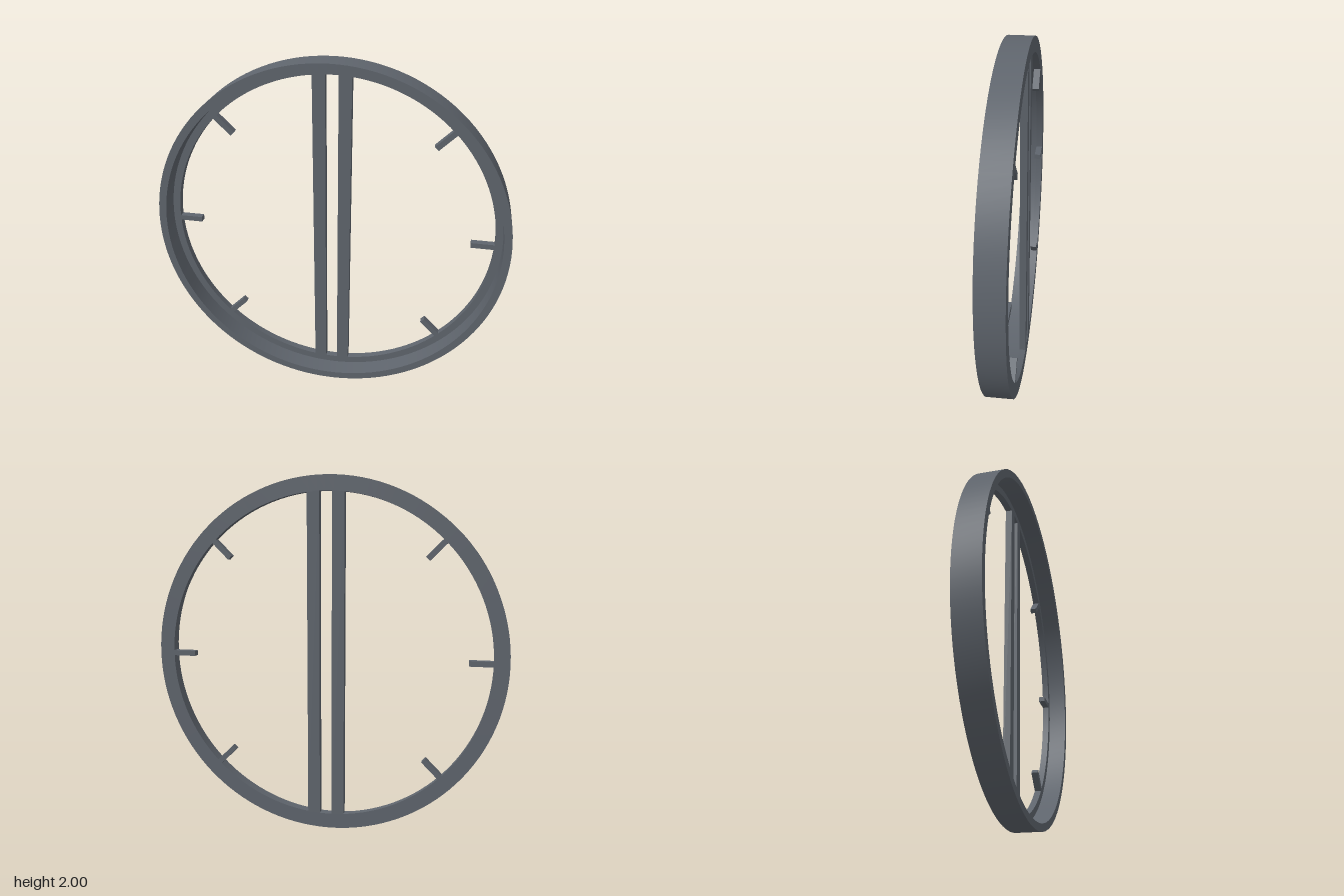
import * as THREE from 'three';
import { toCreasedNormals } from 'three/addons/utils/BufferGeometryUtils.js';

const BACK = -0.0725, FRONT = 0.0725, LEDGE = -0.034;
const LIP_R = 0.915, WALL_R = 0.957;

export function createModel() {
  const group = new THREE.Group();
  const greyMetal = new THREE.MeshStandardMaterial({ color: 0x5f656d });
  greyMetal.name = 'greyMetal';

  const add = (name, geometry, parent = group) => {
    const mesh = new THREE.Mesh(geometry, greyMetal);
    mesh.name = name;
    parent.add(mesh);
    return mesh;
  };

  // Stepped ring: thin front rim, deep inner wall, narrow lip at the back
  const profile = [
    [1, BACK], [1, FRONT], [WALL_R, FRONT], [WALL_R, LEDGE],
    [LIP_R, LEDGE], [LIP_R, BACK], [1, BACK],
  ].map(([r, z]) => new THREE.Vector2(r, z));
  const ringGeometry = new THREE.LatheGeometry(profile, 128).rotateX(Math.PI / 2);
  add('ring', toCreasedNormals(ringGeometry, 0.6)).position.y = 1;

  // Bars and ticks share the thickness of the lip
  const depth = LEDGE - BACK, midZ = (LEDGE + BACK) / 2;

  // Twin vertical bars
  for (const side of [-1, 1]) {
    add(side > 0 ? 'leftBar' : 'rightBar', new THREE.BoxGeometry(0.07, 2 * LIP_R, depth))
      .position.set(side * 0.07, 1, midZ);
  }

  // Short radial ticks, three on each side
  const inner = 0.785, outer = 0.922;
  const ticks = new THREE.Group();
  ticks.name = 'ticks';
  ticks.position.set(0, 1, midZ);
  group.add(ticks);
  for (const degrees of [-45, 0, 45, 135, 180, 225]) {
    const angle = THREE.MathUtils.degToRad(degrees);
    const r = (inner + outer) / 2;
    const tick = add('tick', new THREE.BoxGeometry(outer - inner, 0.03, depth), ticks);
    tick.position.set(r * Math.cos(angle), r * Math.sin(angle), 0);
    tick.rotation.z = angle;
  }

  return group;
}
